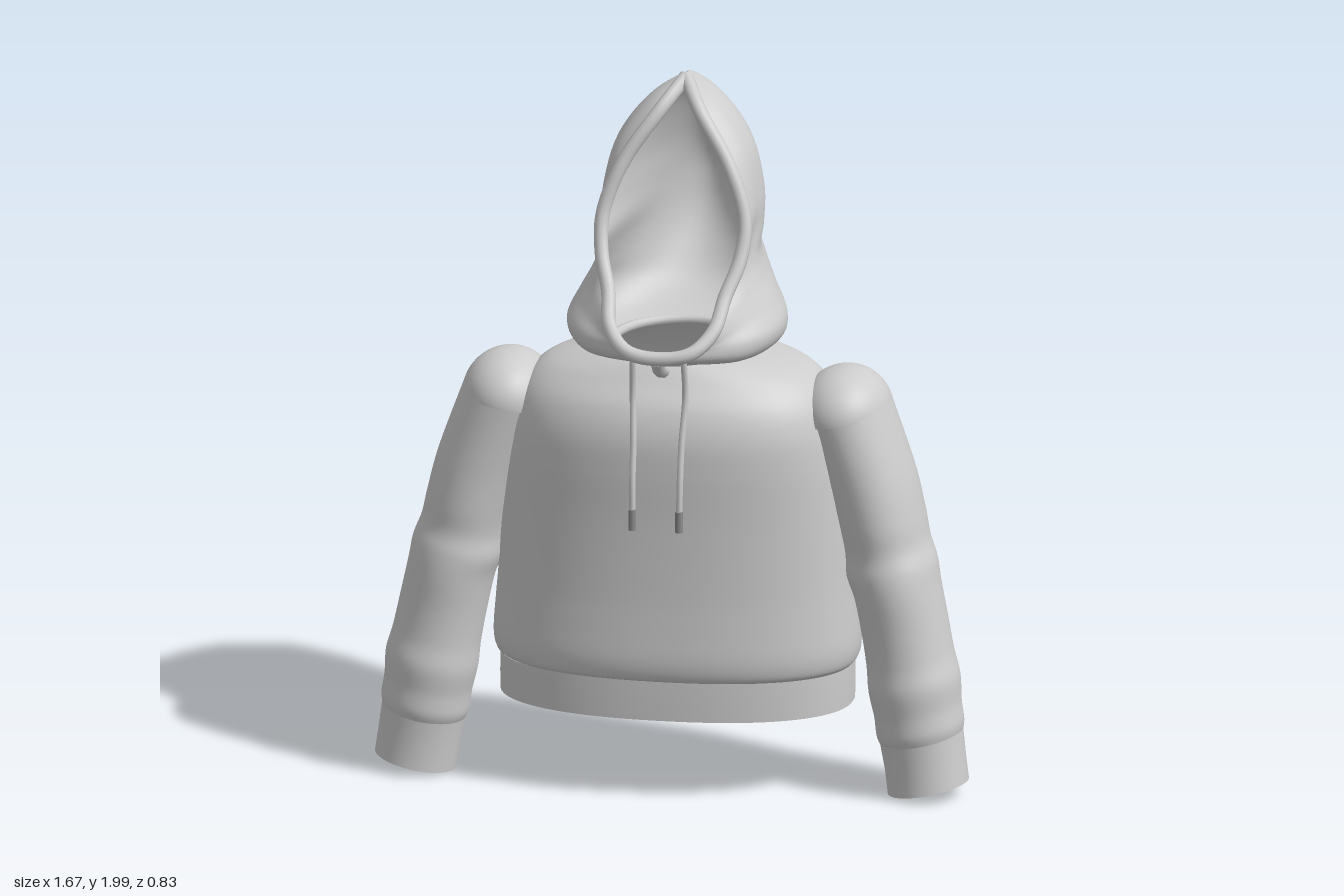
import * as THREE from 'three';

const fabric = new THREE.MeshStandardMaterial({ color: 0xcccccc, side: THREE.DoubleSide });
fabric.name = 'grey fabric';
const tipGrey = new THREE.MeshStandardMaterial({ color: 0x8c8c8c, side: THREE.DoubleSide });
tipGrey.name = 'cord tip grey';

// smooth interpolation through rows of numbers, t from 0 to 1
function spline(rows, t) {
  const last = rows.length - 1;
  const i = Math.min(Math.floor(t * last), last - 1);
  const f = t * last - i;
  const a = rows[Math.max(i - 1, 0)], b = rows[i], c = rows[i + 1], d = rows[Math.min(i + 2, last)];
  return b.map((_, k) => b[k] + 0.5 * f * (c[k] - a[k]
    + f * (2 * a[k] - 5 * b[k] + 4 * c[k] - d[k] + f * (3 * (b[k] - c[k]) + d[k] - a[k]))));
}

const resample = (rows, n) => Array.from({ length: n + 1 }, (_, i) => spline(rows, i / n));

// skin over rings of points, listed from bottom to top
function loft(name, rings, closed) {
  const n = rings[0].length, index = [];
  for (let r = 0; r < rings.length - 1; r++) {
    for (let i = 0; i < (closed ? n : n - 1); i++) {
      const a = r * n + i, b = r * n + (i + 1) % n;
      index.push(a, b, b + n, a, b + n, a + n);
    }
  }
  const g = new THREE.BufferGeometry();
  g.setAttribute('position', new THREE.Float32BufferAttribute(rings.flat(2), 3));
  g.setIndex(index);
  g.computeVertexNormals();
  const mesh = new THREE.Mesh(g, fabric);
  mesh.name = name;
  return mesh;
}

function tube(name, points, radius, closed = false, segments = 96) {
  const curve = new THREE.CatmullRomCurve3(points.map(p => new THREE.Vector3(...p)), closed);
  const mesh = new THREE.Mesh(new THREE.TubeGeometry(curve, segments, radius, 10, closed), fabric);
  mesh.name = name;
  return mesh;
}

// squarish oval ring for the torso: height, half width, front z, back z
function torsoRing([y, w, front, back]) {
  const n = 72, e = 2 / 2.3, cz = (front + back) / 2, d = (front - back) / 2;
  return Array.from({ length: n }, (_, i) => {
    const t = i / n * Math.PI * 2, s = Math.sin(t), c = Math.cos(t);
    return [w * Math.sign(s) * Math.abs(s) ** e, y, cz + d * Math.sign(c) * Math.abs(c) ** e];
  });
}

// tilted sleeve ring: centre x, y, z, half width, half depth
function sleeveRing([x, y, z, w, d], side) {
  const n = 40, tilt = 0.2;
  return Array.from({ length: n }, (_, i) => {
    const t = i / n * Math.PI * 2, u = w * Math.sin(t);
    return [side * (x + u * Math.cos(tilt)), y + u * Math.sin(tilt), z + d * Math.cos(t)];
  }).map((p, i, all) => (side > 0 ? p : all[n - 1 - i]));
}

const BODY = [
  [0.343, 0.482, 0.345, -0.212], [0.36, 0.505, 0.362, -0.227], [0.41, 0.514, 0.37, -0.235],
  [0.5, 0.508, 0.367, -0.234], [0.6, 0.5, 0.364, -0.232], [0.8, 0.49, 0.365, -0.235],
  [0.95, 0.478, 0.37, -0.238], [1.05, 0.462, 0.366, -0.232], [1.13, 0.432, 0.34, -0.21],
  [1.19, 0.375, 0.295, -0.18], [1.225, 0.285, 0.268, -0.157], [1.245, 0.19, 0.25, -0.14],
];

const SLEEVE = [
  [0.703, 0.165, 0.145, 0.116, 0.122], [0.698, 0.195, 0.144, 0.124, 0.13], [0.69, 0.25, 0.14, 0.124, 0.132],
  [0.68, 0.32, 0.137, 0.13, 0.138], [0.667, 0.39, 0.129, 0.124, 0.134], [0.65, 0.48, 0.12, 0.122, 0.138],
  [0.629, 0.58, 0.112, 0.122, 0.147], [0.611, 0.645, 0.104, 0.128, 0.15], [0.597, 0.705, 0.092, 0.12, 0.149],
  [0.58, 0.78, 0.085, 0.121, 0.157], [0.545, 0.9, 0.077, 0.125, 0.161], [0.475, 1.09, 0.067, 0.127, 0.165],
];

// hood ribs from neck to crown, each running upwards
const EDGE = [
  [0, 1.245, 0.25], [0, 1.268, 0.355], [0, 1.295, 0.385], [0.09, 1.31, 0.375], [0.145, 1.36, 0.32],
  [0.165, 1.44, 0.24], [0.195, 1.53, 0.175], [0.2, 1.63, 0.13], [0.15, 1.77, 0.09],
  [0.055, 1.91, 0.03], [0, 1.98, -0.06],
];
const CHEEK = [
  [0.15, 1.243, 0.19], [0.215, 1.265, 0.26], [0.24, 1.315, 0.26], [0.235, 1.37, 0.22], [0.215, 1.43, 0.19],
  [0.205, 1.49, 0.14], [0.21, 1.56, 0.09], [0.217, 1.66, 0.05], [0.182, 1.8, 0.02],
  [0.095, 1.918, -0.02], [0, 1.985, -0.075],
];
const SIDE = [
  [0.19, 1.243, 0.05], [0.285, 1.275, 0.05], [0.305, 1.33, 0.05], [0.272, 1.4, 0.03], [0.24, 1.46, 0.01],
  [0.22, 1.52, -0.01], [0.222, 1.59, -0.05], [0.215, 1.69, -0.08], [0.178, 1.82, -0.09],
  [0.098, 1.925, -0.09], [0, 1.985, -0.09],
];
const REAR = [
  [0.12, 1.243, -0.095], [0.19, 1.27, -0.15], [0.205, 1.33, -0.2], [0.18, 1.4, -0.24], [0.16, 1.47, -0.265],
  [0.135, 1.54, -0.29], [0.12, 1.62, -0.3], [0.11, 1.72, -0.285], [0.1, 1.84, -0.22],
  [0.06, 1.935, -0.155], [0, 1.985, -0.105],
];
const SPINE = [
  [0, 1.245, -0.145], [0, 1.275, -0.22], [0, 1.325, -0.295], [0, 1.4, -0.35], [0, 1.48, -0.39],
  [0, 1.56, -0.408], [0, 1.65, -0.405], [0, 1.75, -0.365], [0, 1.86, -0.3],
  [0, 1.94, -0.205], [0, 1.982, -0.12],
];
const mirror = ([x, y, z]) => [-x, y, z];

function hood() {
  const rows = 60, cols = 64, rings = [];
  for (let r = 0; r <= rows; r++) {
    const half = [EDGE, CHEEK, SIDE, REAR].map(rib => spline(rib, r / rows));
    half.forEach(p => { p[0] = Math.max(p[0], 0); });
    const ring = [...half, spline(SPINE, r / rows), ...half.map(mirror).reverse()];
    rings.push(resample(ring, cols));
  }
  return loft('hood', rings, false);
}

export function createModel() {
  const model = new THREE.Group();
  model.name = 'hoodie';

  // torso and hem
  model.add(loft('body', resample(BODY, 66).map(torsoRing), true));
  const hem = [[0.235, 0.495, 0.355, -0.222], [0.29, 0.496, 0.356, -0.223], [0.348, 0.495, 0.355, -0.222]];
  model.add(loft('hemBand', hem.map(torsoRing), true));

  // hood with piped opening and neck seam
  model.add(hood());
  const rim = EDGE.slice(2);
  model.add(tube('hoodTrim', [...rim.slice(1).reverse(), ...rim.map(mirror)], 0.02, false, 160));
  const neck = Array.from({ length: 16 }, (_, i) => {
    const t = i / 16 * Math.PI * 2;
    return [0.185 * Math.sin(t), 1.248, 0.053 + 0.2 * Math.cos(t)];
  });
  model.add(tube('neckSeam', neck, 0.014, true));
  model.add(tube('trimEnd', [[0, 1.29, 0.385], [0, 1.255, 0.35], [0, 1.235, 0.3]], 0.02, false, 12));

  for (const side of [1, -1]) {
    const label = side > 0 ? 'left' : 'right';

    // sleeve, cuff and rounded shoulder
    model.add(loft(label + 'Sleeve', resample(SLEEVE, 77).map(r => sleeveRing(r, side)), true));
    const cuff = [[0.723, 0.028, 0.157, 0.115, 0.113], [0.713, 0.1, 0.151, 0.115, 0.115], [0.701, 0.175, 0.145, 0.118, 0.123]];
    model.add(loft(label + 'Cuff', cuff.map(r => sleeveRing(r, side)), true));
    const shoulder = new THREE.Mesh(new THREE.SphereGeometry(1, 40, 16, 0, Math.PI * 2, 0, Math.PI / 2), fabric);
    shoulder.name = label + 'Shoulder';
    shoulder.scale.set(0.131, 0.13, 0.169);
    shoulder.position.set(side * 0.475, 1.075, 0.066);
    shoulder.rotation.z = side * 0.2;
    model.add(shoulder);

    // drawstring with a stiff tip
    const cord = [[0.072, 1.29, 0.37], [0.074, 1.18, 0.355], [0.068, 1.05, 0.38], [0.067, 0.945, 0.4], [0.066, 0.85, 0.406]];
    model.add(tube(label + 'Drawstring', cord.map(([x, y, z]) => [side * x, y, z]), 0.009, false, 40));
    const tip = new THREE.Mesh(new THREE.CylinderGeometry(0.011, 0.011, 0.06, 12), tipGrey);
    tip.name = label + 'CordTip';
    tip.position.set(side * 0.066, 0.832, 0.407);
    model.add(tip);
  }
  return model;
}
